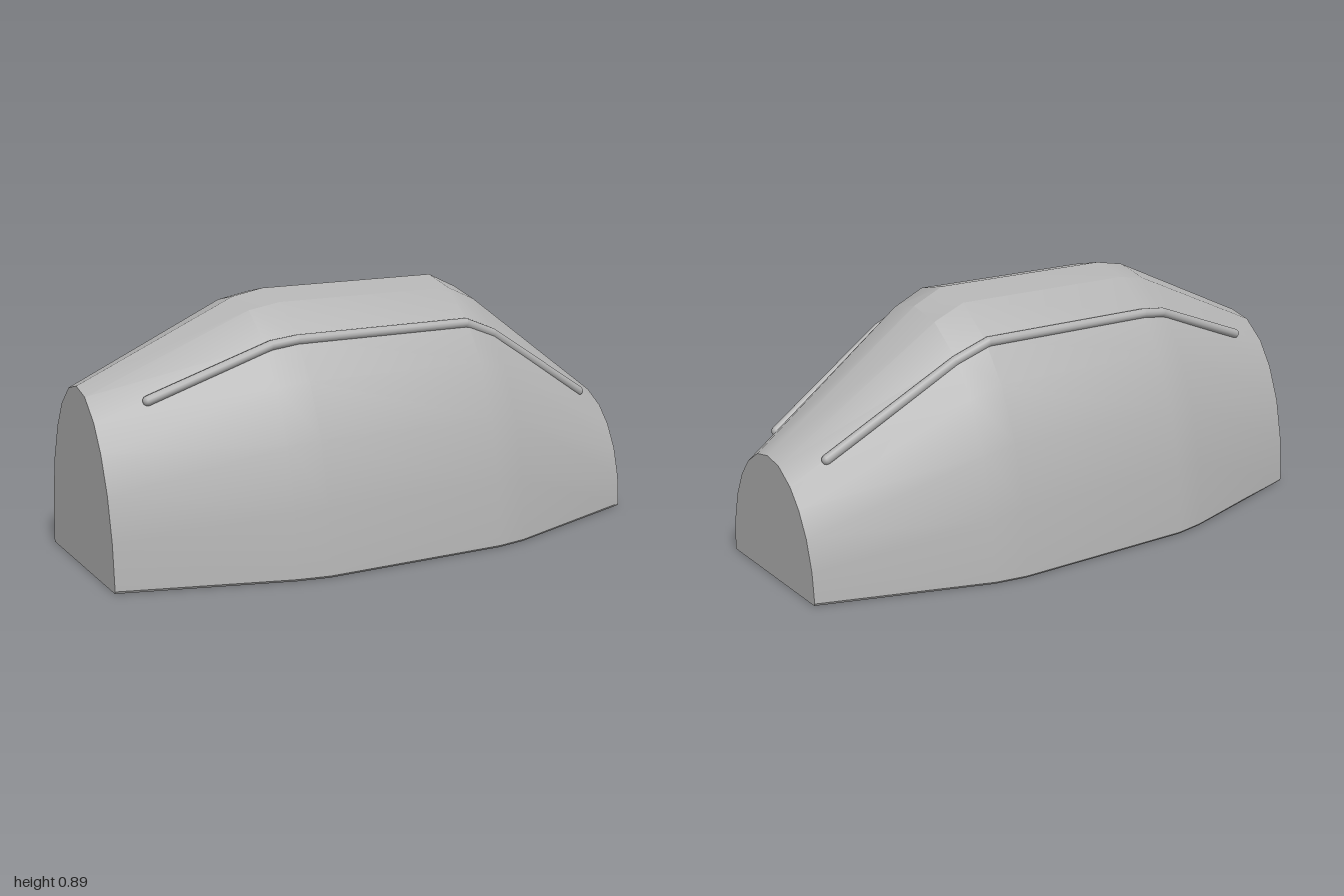
import * as THREE from 'three';
import { toCreasedNormals } from 'three/addons/utils/BufferGeometryUtils.js';

// Half arch profile at the widest section: [z, y] from floor to ridge
const half = [[0.485, 0], [0.492, 0.008], [0.475, 0.235], [0.426, 0.45], [0.35, 0.627],
  [0.258, 0.757], [0.13, 0.856], [0, 0.886]];
const arch = [...half, ...half.slice(0, -1).reverse().map(([z, y]) => [-z, y])];

// Sections along the length: [x, half width, height]
const stations = [[-1, 0.303, 0.615], [-0.44, 0.474, 0.866], [-0.33, 0.494, 0.886],
  [0.33, 0.494, 0.886], [0.44, 0.476, 0.834], [1, 0.286, 0.42]];

function hullGeometry() {
  const pos = [], index = [], n = arch.length, last = stations.length - 1;
  for (const [x, w, h] of stations) {
    for (const [z, y] of arch) pos.push(x, y < 0.01 ? y : y * h / 0.886, z * w / 0.492);
  }
  // Skin and floor
  for (let i = 0; i < last; i++) {
    for (let j = 0; j < n; j++) {
      const k = (j + 1) % n;
      const a = i * n + j, b = i * n + k, c = a + n, d = b + n;
      index.push(a, c, b, b, c, d);
    }
  }
  // Flat end caps
  for (const i of [0, last]) {
    const centre = pos.length / 3;
    pos.push(stations[i][0], stations[i][2] * 0.4, 0);
    for (let j = 0; j < n; j++) {
      const a = i * n + j, b = i * n + (j + 1) % n;
      if (i) index.push(centre, b, a);
      else index.push(centre, a, b);
    }
  }
  const geo = new THREE.BufferGeometry();
  geo.setAttribute('position', new THREE.Float32BufferAttribute(pos, 3));
  geo.setIndex(index);
  return toCreasedNormals(geo, 0.39);
}

// Round bar following a bent line over the shoulder
function rail(points, side, material) {
  const group = new THREE.Group();
  const pts = points.map(([x, y, z]) => new THREE.Vector3(x, y, z * side));
  for (let i = 0; i < pts.length - 1; i++) {
    const dir = pts[i + 1].clone().sub(pts[i]);
    const bar = new THREE.Mesh(new THREE.CapsuleGeometry(0.017, dir.length(), 4, 12), material);
    bar.name = 'railSegment';
    bar.position.copy(pts[i]).addScaledVector(dir, 0.5);
    bar.quaternion.setFromUnitVectors(new THREE.Vector3(0, 1, 0), dir.normalize());
    group.add(bar);
  }
  return group;
}

export function createModel() {
  const model = new THREE.Group();
  model.name = 'archedPod';
  const grey = new THREE.MeshStandardMaterial({ color: 0xb3b3b3 });
  grey.name = 'grey';

  const hull = new THREE.Mesh(hullGeometry(), grey);
  hull.name = 'hull';
  model.add(hull);

  const line = [[-0.83, 0.587, 0.194], [-0.42, 0.74, 0.256], [-0.33, 0.751, 0.263],
    [0.32, 0.751, 0.263], [0.44, 0.703, 0.25], [0.88, 0.433, 0.175]];
  for (const side of [1, -1]) {
    const r = rail(line, side, grey);
    r.name = side > 0 ? 'frontRail' : 'backRail';
    model.add(r);
  }
  return model;
}
